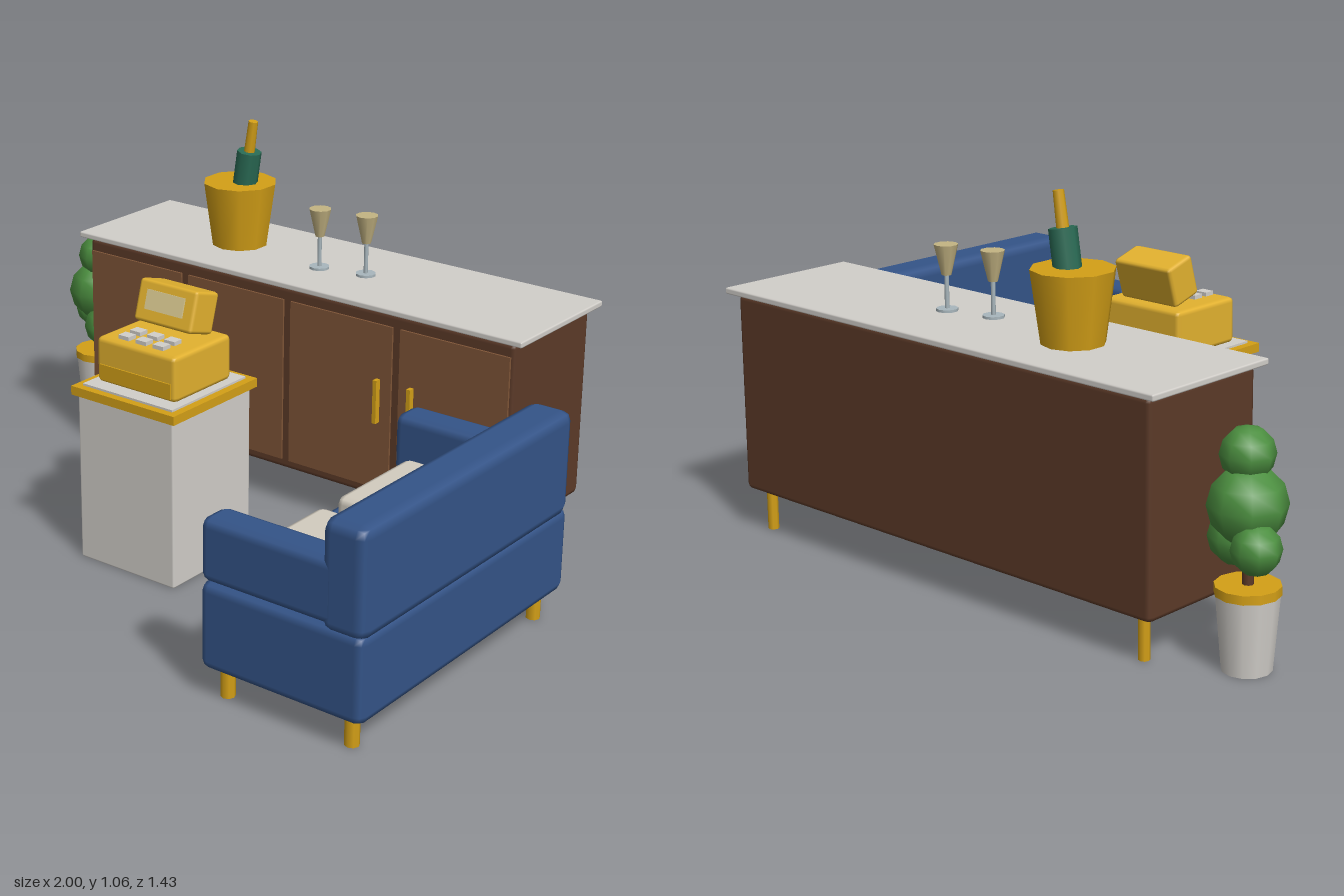
import * as THREE from 'three';
import { RoundedBoxGeometry } from 'three/addons/geometries/RoundedBoxGeometry.js';

const mat = (color) => new THREE.MeshStandardMaterial({ color });
const M = {
  gold: mat(0xd4a017), brass: mat(0xe3b22f), wood: mat(0x5c3a28), door: mat(0x7f5537),
  marble: mat(0xd2cfca), blue: mat(0x345488), cream: mat(0xd3ccbf), leaf: mat(0x4c8f40),
  bottle: mat(0x2a6b55), glass: mat(0xa9b7bd), wine: mat(0xc4b483), screen: mat(0xd9c88f),
};

function add(parent, name, geometry, material, x, y, z) {
  const mesh = new THREE.Mesh(geometry, material);
  mesh.name = name;
  mesh.position.set(x, y, z);
  parent.add(mesh);
  return mesh;
}

// Box given by its extents; r > 0 softens the edges
function box(parent, name, material, [x0, x1], [y0, y1], [z0, z1], r = 0) {
  const size = [x1 - x0, y1 - y0, z1 - z0];
  const geometry = r ? new RoundedBoxGeometry(...size, 1, r) : new THREE.BoxGeometry(...size);
  return add(parent, name, geometry, material, (x0 + x1) / 2, (y0 + y1) / 2, (z0 + z1) / 2);
}

// Upright tapered cylinder standing on y0
function post(parent, name, material, x, z, y0, y1, rTop, rBottom = rTop, sides = 8) {
  const geometry = new THREE.CylinderGeometry(rTop, rBottom, y1 - y0, sides);
  return add(parent, name, geometry, material, x, (y0 + y1) / 2, z);
}

function group(parent, name) {
  const g = new THREE.Group();
  g.name = name;
  parent.add(g);
  return g;
}

function sideboard(root) {
  const g = group(root, 'sideboard');
  box(g, 'cabinet', M.wood, [-0.72, 0.756], [0.115, 0.667], [-0.695, -0.31], 0.015);
  box(g, 'countertop', M.marble, [-0.747, 0.783], [0.667, 0.685], [-0.716, -0.293], 0.005);
  for (const i of [-1.5, -0.5, 0.5, 1.5]) {
    const x = 0.018 + i * 0.369;
    box(g, 'door', M.door, [x - 0.172, x + 0.172], [0.145, 0.63], [-0.32, -0.304]);
  }
  for (const x of [-0.407, -0.297, 0.333, 0.443])
    box(g, 'handle', M.gold, [x - 0.006, x + 0.006], [0.345, 0.472], [-0.305, -0.286]);
  for (const x of [-0.665, 0.701])
    for (const z of [-0.355, -0.65]) post(g, 'leg', M.gold, x, z, 0, 0.125, 0.015);
}

function sofa(root) {
  const g = group(root, 'sofa');
  box(g, 'base', M.blue, [0.52, 0.996], [0.08, 0.312], [-0.207, 0.713], 0.024);
  box(g, 'backrest', M.blue, [0.872, 0.998], [0.295, 0.582], [-0.207, 0.713], 0.03);
  for (const z of [-0.205, 0.611])
    box(g, 'arm', M.blue, [0.52, 0.92], [0.312, 0.48], [z, z + 0.1], 0.024);
  for (const z of [-0.107, 0.28])
    box(g, 'cushion', M.cream, [0.565, 0.872], [0.295, 0.37], [z, z + 0.324], 0.02);
  for (const x of [0.572, 0.94])
    for (const z of [-0.153, 0.663]) post(g, 'sofaLeg', M.gold, x, z, 0, 0.09, 0.019);
}

function counter(root) {
  const g = group(root, 'counterWithRegister');
  box(g, 'pedestal', M.marble, [-0.221, 0.108], [0, 0.482], [-0.022, 0.308], 0.006);
  box(g, 'goldTop', M.gold, [-0.234, 0.121], [0.48, 0.505], [-0.035, 0.32]);
  box(g, 'marbleInset', M.marble, [-0.211, 0.098], [0.5, 0.511], [-0.013, 0.298]);

  // Till body, drawer and keys
  box(g, 'registerBody', M.brass, [-0.192, 0.08], [0.511, 0.64], [0.025, 0.263], 0.014);
  box(g, 'drawer', M.gold, [-0.178, 0.066], [0.522, 0.565], [0.255, 0.267]);
  for (const x of [-0.115, -0.056, 0.003])
    for (const z of [0.178, 0.225])
      box(g, 'key', M.marble, [x - 0.018, x + 0.018], [0.63, 0.651], [z - 0.015, z + 0.015]);

  // Display head leaning back
  const head = group(g, 'registerHead');
  head.position.set(-0.057, 0.707, 0.09);
  head.rotation.x = -0.29;
  box(head, 'headCase', M.brass, [-0.099, 0.099], [-0.058, 0.058], [-0.049, 0.049], 0.01);
  box(head, 'display', M.screen, [-0.064, 0.064], [-0.022, 0.032], [0.04, 0.054]);
}

function drinks(root) {
  const g = group(root, 'drinks');
  post(g, 'iceBucket', M.gold, -0.305, -0.505, 0.685, 0.873, 0.108, 0.082, 10);

  // Tilted bottle resting in the bucket
  const bottle = group(g, 'bottle');
  bottle.position.set(-0.297, 0.8, -0.505);
  bottle.rotation.z = -0.15;
  post(bottle, 'bottleBody', M.bottle, 0, 0, 0, 0.17, 0.036);
  post(bottle, 'bottleNeck', M.gold, 0, 0, 0.16, 0.262, 0.014, 0.016);

  for (const [x, z] of [[0.016, -0.46], [0.155, -0.49]]) {
    const cup = group(g, 'wineGlass');
    post(cup, 'glassFoot', M.glass, x, z, 0.685, 0.692, 0.029, 0.029, 10);
    post(cup, 'glassStem', M.glass, x, z, 0.69, 0.785, 0.006);
    post(cup, 'glassBowl', M.wine, x, z, 0.78, 0.861, 0.032, 0.013, 10);
  }
}

function plant(root) {
  const g = group(root, 'pottedPlant');
  const x = -0.88, z = -0.53;
  post(g, 'pot', M.marble, x, z, 0, 0.2, 0.079, 0.062, 12);
  post(g, 'potRim', M.gold, x, z, 0.19, 0.213, 0.081, 0.081, 12);
  post(g, 'trunk', M.wood, x, z, 0.2, 0.4, 0.014);
  // Foliage clumps: x, y, z, radius
  const clumps = [
    [-0.87, 0.528, -0.525, 0.068], [-0.88, 0.41, -0.535, 0.098],
    [-0.94, 0.325, -0.577, 0.062], [-0.823, 0.312, -0.5, 0.073],
  ];
  for (const [cx, cy, cz, r] of clumps)
    add(g, 'foliage', new THREE.SphereGeometry(r, 8, 6), M.leaf, cx, cy, cz);
}

export function createModel() {
  const root = new THREE.Group();
  root.name = 'loungeSet';
  for (const build of [sideboard, sofa, counter, drinks, plant]) build(root);
  return root;
}
